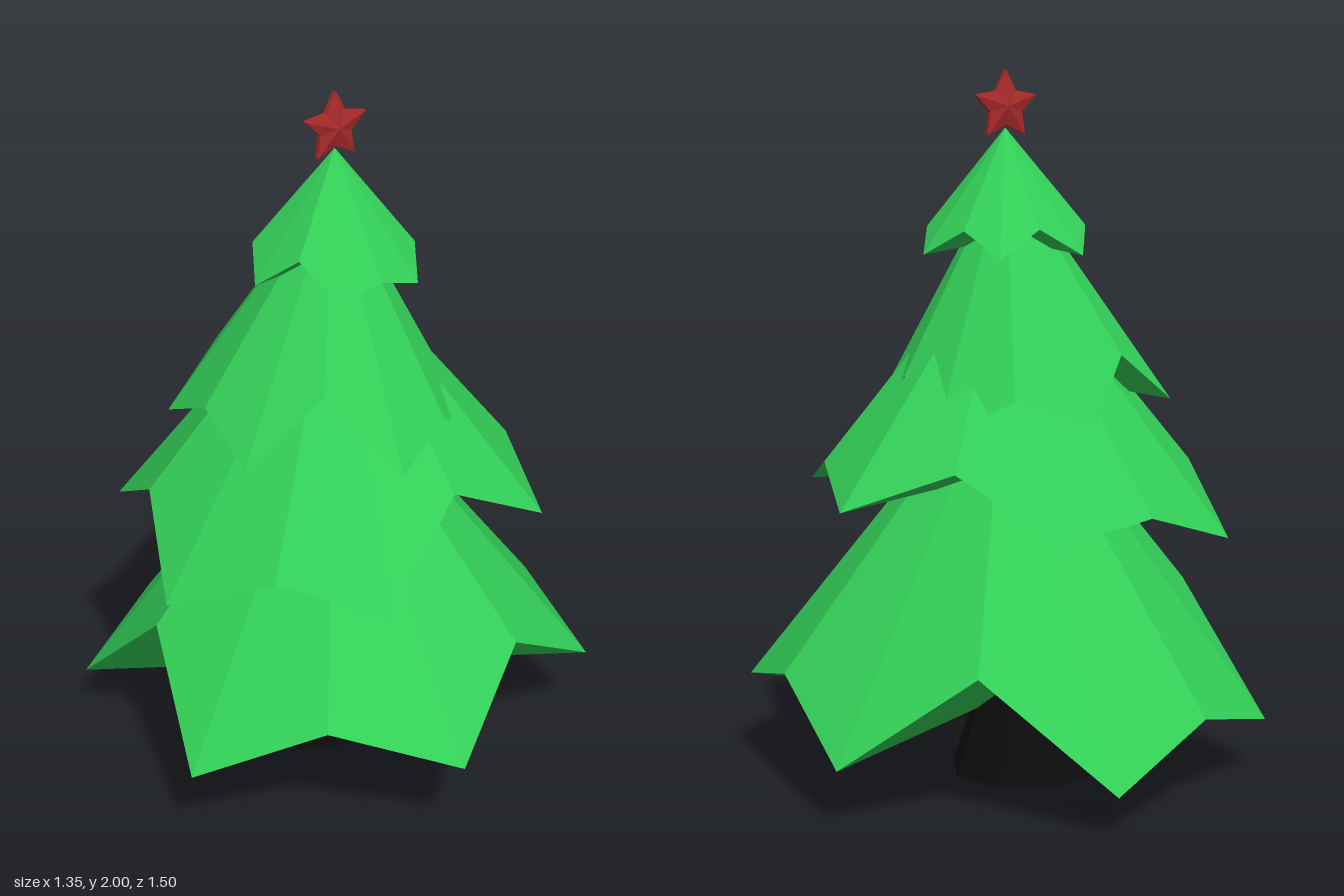
import * as THREE from 'three';

const material = (color) =>
  new THREE.MeshStandardMaterial({ color, flatShading: true, side: THREE.DoubleSide });

function facetedMesh(name, triangles, mat) {
  const geometry = new THREE.BufferGeometry();
  geometry.setAttribute('position', new THREE.Float32BufferAttribute(triangles.flat(2), 3));
  geometry.computeVertexNormals();
  const mesh = new THREE.Mesh(geometry, mat);
  mesh.name = name;
  return mesh;
}

// Triangles from a centre point to each edge of a closed rim
function fan(centre, rim, flip) {
  return rim.map((p, i) => {
    const q = rim[(i + 1) % rim.length];
    return flip ? [centre, q, p] : [centre, p, q];
  });
}

// One tier: six evenly spaced tips on a tilted hexagon, with a notch cut between each pair.
// notches holds [radius, height] for each gap.
function foliage({ name, peak, under, radius, height, start, centreX = 0, tiltX = 0, tiltZ = 0, notches }, mat) {
  const rim = notches.flatMap(([notchRadius, notchHeight], i) => {
    const angle = THREE.MathUtils.degToRad(start + i * 60);
    const point = (r, a) => [centreX + r * Math.cos(a), r * Math.sin(a)];
    const [x, z] = point(radius, angle);
    const [nx, nz] = point(notchRadius, angle + Math.PI / 6);
    return [[x, height + tiltX * x + tiltZ * z, z], [nx, notchHeight, nz]];
  });
  return facetedMesh(name, [...fan([0, peak, 0], rim, true), ...fan([0, under, 0], rim, false)], mat);
}

// Five-pointed star: ridged faces joined by a thin rim
function star(centreY, mat) {
  const outline = (z) => Array.from({ length: 10 }, (_, i) => {
    const angle = Math.PI / 2 + (i * Math.PI) / 5;
    const r = i % 2 ? 0.052 : 0.1;
    return [r * Math.cos(angle), centreY + r * Math.sin(angle), z];
  });
  const front = outline(0.008), back = outline(-0.008);
  const faces = [...fan([0, centreY, 0.025], front, false), ...fan([0, centreY, -0.025], back, true)];
  front.forEach((p, i) => {
    const j = (i + 1) % 10;
    faces.push([p, back[i], back[j]], [p, back[j], front[j]]);
  });
  return facetedMesh('star', faces, mat);
}

export function createModel() {
  const tree = new THREE.Group();
  tree.name = 'tree';
  const green = material(0x33d058);

  tree.add(
    foliage({
      name: 'bottomFoliage', peak: 1.2, under: 0.2,
      radius: 0.752, height: 0.2, start: -86, tiltZ: 0.107,
      notches: [[0.62, 0.42], [0.67, 0.34], [0.604, 0.47], [0.658, 0.39], [0.576, 0.5], [0.684, 0.25]],
    }, green),
    foliage({
      name: 'lowerMiddleFoliage', peak: 1.55, under: 0.86,
      radius: 0.63, height: 0.76, start: -74, centreX: -0.03, tiltX: 0.11,
      notches: [[0.503, 0.94], [0.547, 0.91], [0.487, 0.97], [0.566, 0.81], [0.517, 0.88], [0.56, 0.81]],
    }, green),
    foliage({
      name: 'upperMiddleFoliage', peak: 1.75, under: 1.16,
      radius: 0.427, height: 1.044, start: -90, centreX: -0.05, tiltX: -0.068,
      notches: [[0.387, 1.12], [0.365, 1.16], [0.39, 1.125], [0.325, 1.26], [0.37, 1.17], [0.33, 1.22]],
    }, green),
    foliage({
      name: 'topFoliage', peak: 1.84, under: 1.53,
      radius: 0.255, height: 1.495, start: -120,
      notches: [[0.205, 1.57], [0.21, 1.565], [0.22, 1.565], [0.233, 1.53], [0.205, 1.585], [0.225, 1.57]],
    }, green),
  );

  // Tapered eight-sided trunk, slightly off centre
  const trunk = new THREE.Mesh(
    new THREE.CylinderGeometry(0.09, 0.215, 0.38, 8), material(0x0c0c0c));
  trunk.name = 'trunk';
  trunk.position.set(-0.028, 0.19, -0.062);
  tree.add(trunk);

  tree.add(star(1.9, material(0xa82a2a)));
  return tree;
}
